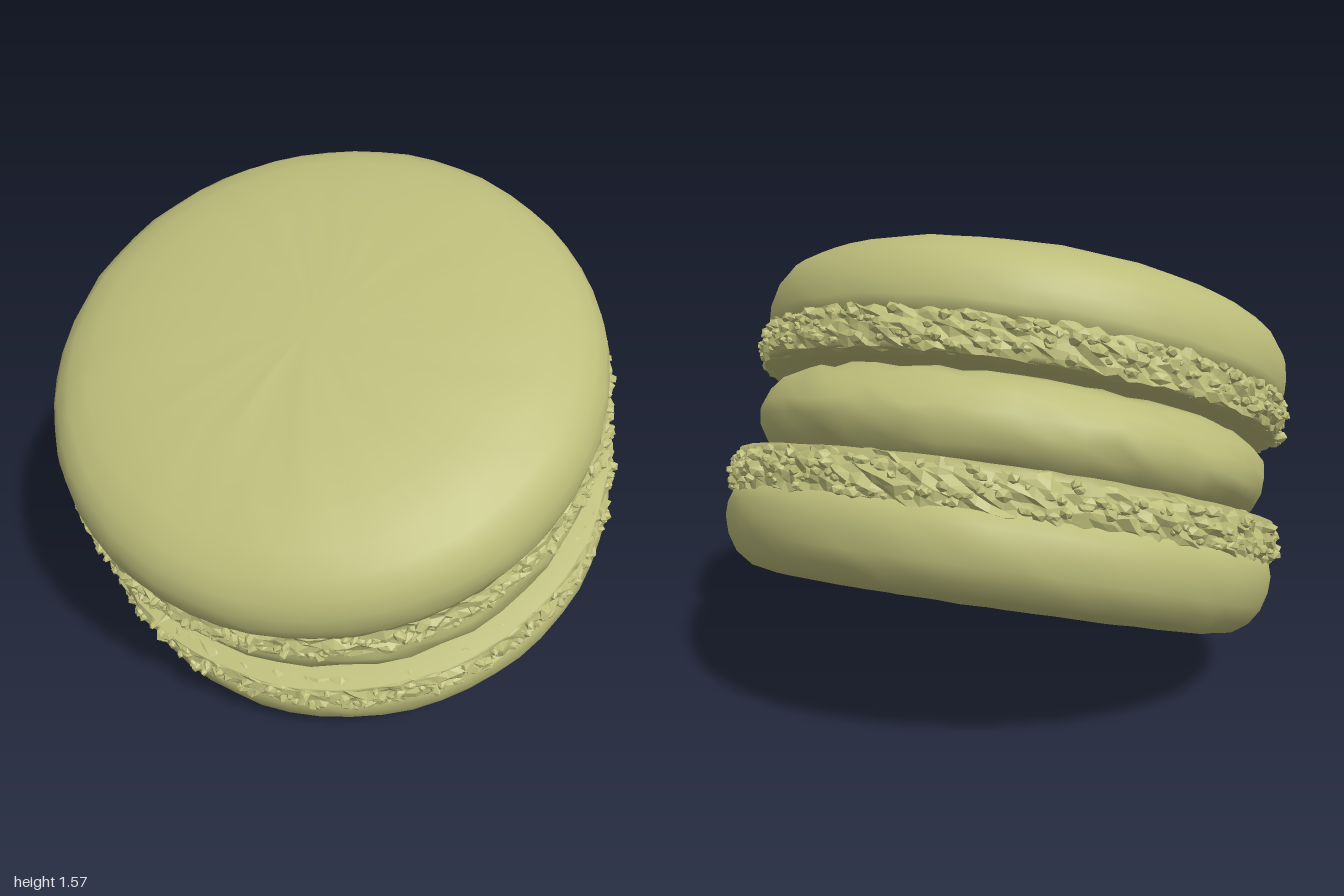
import * as THREE from 'three';
import { mergeVertices, mergeGeometries } from 'three/addons/utils/BufferGeometryUtils.js';

const TILT = THREE.MathUtils.degToRad(22);

// Repeatable noise in 0..1
function hash(a, b, c = 0) {
  const s = Math.sin(a * 127.1 + b * 311.7 + c * 74.7) * 43758.5453;
  return s - Math.floor(s);
}

// Lathe whose vertices are nudged in and out; profile runs bottom to top
function roughLathe(profile, segments, radial, vertical, seed) {
  const geo = new THREE.LatheGeometry(profile.map(([r, h]) => new THREE.Vector2(r, h)), segments);
  const pos = geo.attributes.position;
  const rows = profile.length;
  for (let i = 0; i < pos.count; i++) {
    const seg = Math.floor(i / rows) % segments;
    const row = i % rows;
    const r = profile[row][0];
    if (r === 0) continue;
    const k = 1 + (hash(seg, row, seed) - 0.5) * 2 * radial / r;
    const dy = (hash(seg, row, seed + 5) - 0.5) * 2 * vertical;
    pos.setXYZ(i, pos.getX(i) * k, pos.getY(i) + dy, pos.getZ(i) * k);
  }
  geo.deleteAttribute('uv');
  geo.deleteAttribute('normal');
  return geo;
}

function smooth(geo) {
  const merged = mergeVertices(geo, 1e-4);
  merged.computeVertexNormals();
  return merged;
}

function faceted(geo) {
  const flat = geo.index ? geo.toNonIndexed() : geo;
  flat.computeVertexNormals();
  return flat;
}

// Craggy band with loose crumbs around the edge of a shell
function footGeometry(radius, bottom, top, seed) {
  const height = top - bottom;
  const profile = [[radius - 0.05, bottom]];
  for (let i = 0; i <= 6; i++) {
    const t = i / 6;
    profile.push([radius - 0.018 + 0.014 * Math.sin(Math.PI * t), bottom + 0.006 + t * (height - 0.012)]);
  }
  profile.push([radius - 0.05, top]);
  const parts = [faceted(roughLathe(profile, 150, 0.013, 0.009, seed))];

  for (let i = 0; i < 330; i++) {
    const crumb = new THREE.IcosahedronGeometry(0.012 + 0.014 * hash(i, seed, 1), 0);
    crumb.deleteAttribute('uv');
    crumb.deleteAttribute('normal');
    const angle = (i + hash(i, seed, 2)) / 330 * Math.PI * 2;
    const h = bottom + 0.018 + hash(i, seed, 3) * (height - 0.036);
    const r = radius - 0.018 + 0.014 * hash(i, seed, 6);
    crumb.scale(1.5, 0.8, 0.9);
    crumb.rotateX(hash(i, seed, 4) * 6);
    crumb.rotateY(hash(i, seed, 5) * 6);
    crumb.translate(Math.sin(angle) * r, h, Math.cos(angle) * r);
    parts.push(faceted(crumb));
  }
  return mergeGeometries(parts);
}

export function createModel() {
  const almond = new THREE.MeshStandardMaterial({ color: 0xbcbc7a });
  almond.name = 'pistachio green';

  const model = new THREE.Group();
  model.name = 'macaron';
  const stack = new THREE.Group();
  stack.name = 'tiltedStack';
  stack.position.y = 0.79;
  stack.rotation.x = TILT;
  model.add(stack);

  const add = (parent, name, geo) => {
    const mesh = new THREE.Mesh(geo, almond);
    mesh.name = name;
    parent.add(mesh);
  };

  // Lower biscuit: flattened dome, craggy foot, flat inner face
  const lower = new THREE.Group();
  lower.name = 'lowerBiscuit';
  stack.add(lower);
  add(lower, 'lowerShell', smooth(roughLathe([
    [0, -0.522], [0.35, -0.52], [0.6, -0.516], [0.75, -0.508], [0.83, -0.492], [0.885, -0.455],
    [0.92, -0.405], [0.937, -0.345], [0.938, -0.295], [0.925, -0.25], [0.88, -0.235],
  ], 56, 0.003, 0.003, 11)));
  add(lower, 'lowerFoot', footGeometry(0.94, -0.265, -0.118, 21));
  add(lower, 'lowerInnerFace', smooth(roughLathe(
    [[0.927, -0.14], [0.925, -0.116], [0.75, -0.115], [0, -0.115]], 80, 0.005, 0.002, 31)));

  // Filling: lumpy bulging disc
  add(stack, 'filling', smooth(roughLathe([
    [0, -0.125], [0.74, -0.122], [0.81, -0.105], [0.855, -0.065], [0.882, -0.015],
    [0.882, 0.035], [0.865, 0.085], [0.83, 0.13], [0.77, 0.16], [0.7, 0.175], [0, 0.178],
  ], 52, 0.009, 0.01, 41)));

  // Upper biscuit: leans slightly more than the lower one
  const upper = new THREE.Group();
  upper.name = 'upperBiscuit';
  upper.rotation.x = THREE.MathUtils.degToRad(1);
  upper.position.z = 0.008;
  stack.add(upper);
  add(upper, 'upperInnerFace', smooth(roughLathe(
    [[0, 0.17], [0.75, 0.17], [0.895, 0.17], [0.9, 0.19]], 80, 0.005, 0.002, 51)));
  add(upper, 'upperFoot', footGeometry(0.918, 0.168, 0.305, 61));
  add(upper, 'upperShell', smooth(roughLathe([
    [0.86, 0.275], [0.898, 0.29], [0.91, 0.33], [0.913, 0.38], [0.902, 0.435], [0.872, 0.487],
    [0.82, 0.532], [0.74, 0.567], [0.62, 0.597], [0.45, 0.621], [0.22, 0.636], [0, 0.641],
  ], 56, 0.003, 0.003, 71)));

  return model;
}
